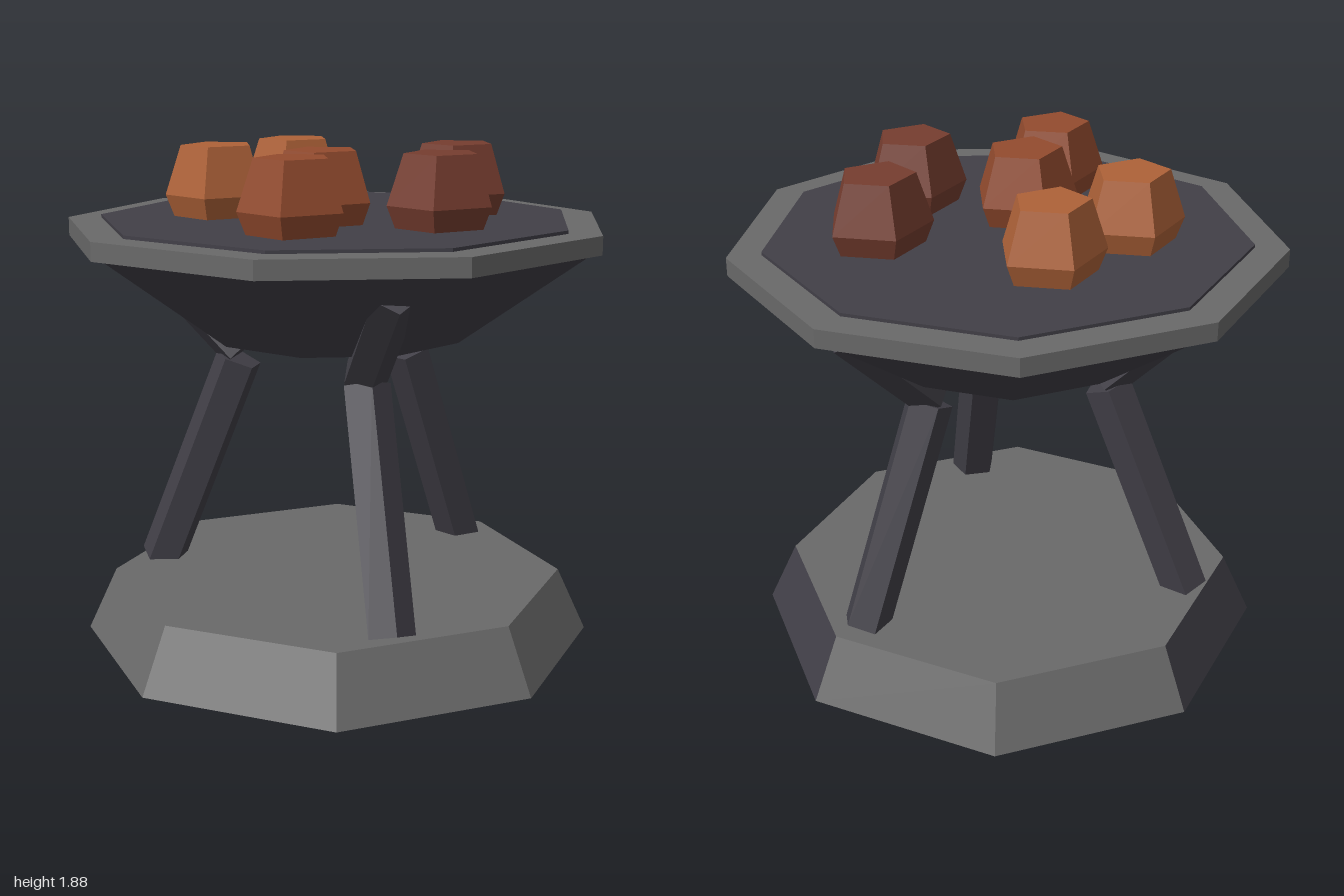
import * as THREE from 'three';

const mat = (name, color) => {
  const m = new THREE.MeshStandardMaterial({ color, flatShading: true });
  m.name = name;
  return m;
};

export function createModel() {
  const grey = mat('stoneGrey', 0x696969);
  const iron = mat('darkIron', 0x413f47);
  const orange = mat('brightEmber', 0xae6238);
  const rust = mat('rustEmber', 0x934b2e);
  const maroon = mat('dullEmber', 0x763d2f);

  const model = new THREE.Group();
  model.name = 'brazier';
  const stand = new THREE.Group();
  stand.name = 'stand';
  stand.position.z = 0.02;
  model.add(stand);

  const add = (parent, name, geometry, material) => {
    const mesh = new THREE.Mesh(geometry, material);
    mesh.name = name;
    parent.add(mesh);
    return mesh;
  };
  // Faceted frustum between two heights
  const frustum = (rTop, rBottom, y0, y1, sides, start = 0, open = false) =>
    new THREE.CylinderGeometry(rTop, rBottom, y1 - y0, sides, 1, open, start)
      .translate(0, (y0 + y1) / 2, 0);

  // Octagonal base with two dark side panels and a dark underside
  const base = frustum(0.86, 0.97, 0, 0.24, 8);
  const [, top, bottom] = base.groups.map((g) => ({ ...g }));
  base.clearGroups();
  for (let i = 0; i < 8; i++) base.addGroup(i * 6, 6, i === 1 || i === 4 ? 1 : 0);
  base.addGroup(top.start, top.count, 0);
  base.addGroup(bottom.start, bottom.count, 1);
  add(stand, 'base', base, [grey, iron]);

  // Nine-sided bowl, rim and fire bed
  add(stand, 'bowl', frustum(0.985, 0.487, 1.18, 1.54, 9, Math.PI), iron);
  add(stand, 'rim', frustum(1.015, 1.015, 1.535, 1.603, 9, Math.PI), grey);
  add(stand, 'fireBed', frustum(0.89, 0.89, 1.595, 1.615, 9, Math.PI), iron);

  // Five-sided bar in the xy plane, one edge facing outward (+x)
  const bar = (parent, name, x0, y0, x1, y1, radius) => {
    const length = Math.hypot(x1 - x0, y1 - y0);
    const geo = new THREE.CylinderGeometry(radius, radius, length, 5, 1, false, Math.PI / 2);
    const mesh = add(parent, name, geo, iron);
    mesh.position.set((x0 + x1) / 2, (y0 + y1) / 2, 0);
    mesh.rotation.z = -Math.atan2(x1 - x0, y1 - y0);
  };

  // Three bent legs
  for (let i = 0; i < 3; i++) {
    const leg = new THREE.Group();
    leg.name = 'leg' + (i + 1);
    leg.rotation.y = (i * Math.PI * 2) / 3;
    bar(leg, 'lowerLeg', 0.72, 0.23, 0.39, 1.06, 0.091);
    bar(leg, 'upperBrace', 0.38, 1.09, 0.74, 1.45, 0.085);
    stand.add(leg);
  }

  // Pentagonal coals: x, z, colour
  const coals = [
    [-0.27, -0.335, orange], [0.14, -0.355, orange],
    [-0.155, 0.1, rust], [-0.435, 0.245, rust],
    [0.415, 0.245, maroon], [0.055, 0.485, maroon],
  ];
  coals.forEach(([x, z, material], i) => {
    const coal = new THREE.Group();
    coal.name = 'coal' + (i + 1);
    coal.position.set(x, 0, z);
    coal.scale.z = 0.92;
    add(coal, 'coalUpper', frustum(0.143, 0.204, 1.695, 1.877, 5, Math.PI / 2), material);
    add(coal, 'coalLower', frustum(0.204, 0.168, 1.605, 1.695, 5, Math.PI / 2), material);
    model.add(coal);
  });

  return model;
}
